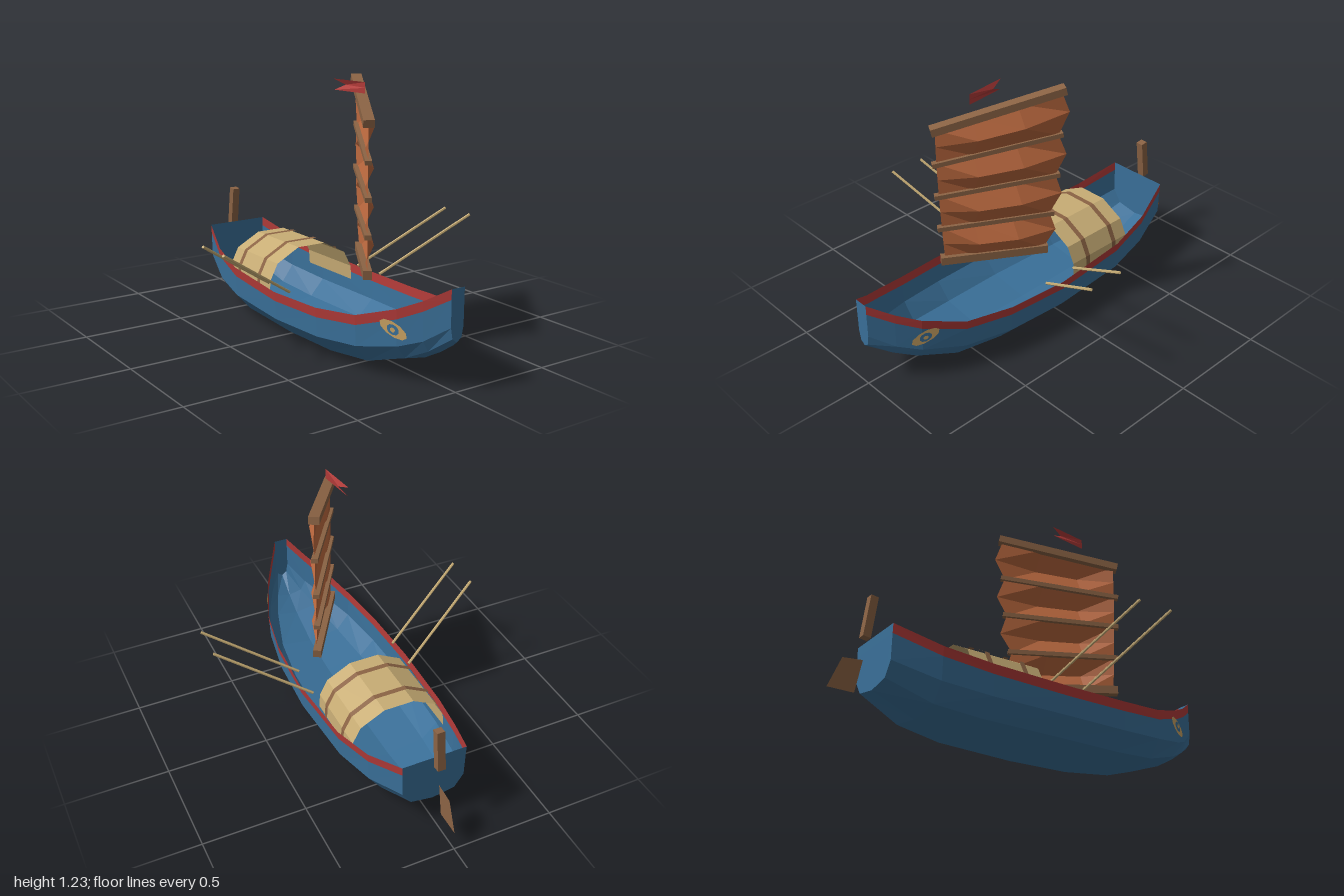
import * as THREE from 'three';

const mat = (name, color) => new THREE.MeshStandardMaterial({
  name, color, flatShading: true, side: THREE.DoubleSide });
const M = {
  blue: mat('hull blue', 0x3a7099),
  red: mat('rail red', 0xb03a38),
  sail: mat('sail rust', 0xb5653c),
  wood: mat('brown wood', 0x8b6344),
  tan: mat('tan matting', 0xc8ad75),
  gold: mat('eye gold', 0xc8a263),
};

function add(parent, name, geometry, material) {
  const mesh = new THREE.Mesh(geometry, material);
  mesh.name = name;
  parent.add(mesh);
  return mesh;
}

// Surface through a list of cross-sections, each with the same number of points
function loft(rings) {
  const pos = [];
  for (let i = 0; i < rings.length - 1; i++) {
    for (let j = 0; j < rings[i].length - 1; j++) {
      const a = rings[i][j], b = rings[i][j + 1], c = rings[i + 1][j + 1], d = rings[i + 1][j];
      for (const p of [a, b, c, a, c, d]) pos.push(p[0], p[1], p[2]);
    }
  }
  const g = new THREE.BufferGeometry();
  g.setAttribute('position', new THREE.Float32BufferAttribute(pos, 3));
  g.computeVertexNormals();
  return g;
}

const flat = (pts) => new THREE.ShapeGeometry(
  new THREE.Shape(pts.map((p) => new THREE.Vector2(p[0], p[1]))));

// Rectangular bar between two points, lengthened by extra at both ends
function bar(parent, name, a, b, width, height, extra, material) {
  const A = new THREE.Vector3(...a), B = new THREE.Vector3(...b);
  const mesh = add(parent, name,
    new THREE.BoxGeometry(width, height, A.distanceTo(B) + 2 * extra), material);
  mesh.position.copy(A).lerp(B, 0.5);
  mesh.lookAt(B);
  return mesh;
}

function buildHull(boat) {
  // z, half width, rail height, upper chine height, lower chine height, keel height
  const stations = [
    [1.0, 0.035, 0.455, 0.29, 0.24, 0.222],
    [0.9, 0.1, 0.39, 0.215, 0.165, 0.15],
    [0.8, 0.16, 0.34, 0.175, 0.115, 0.095],
    [0.61, 0.235, 0.276, 0.135, 0.055, 0.03],
    [0.37, 0.275, 0.252, 0.115, 0.035, 0.006],
    [0.05, 0.29, 0.245, 0.11, 0.033, 0.004],
    [-0.35, 0.268, 0.265, 0.12, 0.04, 0.014],
    [-0.58, 0.225, 0.305, 0.15, 0.067, 0.045],
    [-0.79, 0.16, 0.38, 0.215, 0.15, 0.13],
  ];
  const mirror = (half) => [...half.slice(1).reverse().map(([x, y, z]) => [-x, y, z]), ...half];
  const low = stations.map(([z, w, top, c2, c1, k]) => mirror([
    [0, k, z], [w * 0.69, c1, z], [w * 0.965, c2, z], [w * 0.985, top - 0.045, z]]));
  add(boat, 'hull', loft(low), M.blue);

  // Painted rail along each side
  for (const s of [-1, 1]) {
    add(boat, s > 0 ? 'leftRail' : 'rightRail', loft(stations.map(([z, w, top]) =>
      [[s * w * 0.985, top - 0.045, z], [s * w, top, z]])), M.red);
  }

  // Flat stem and transom
  [['stem', 0], ['transom', stations.length - 1]].forEach(([name, i]) => {
    const [z, w, top] = stations[i];
    const pts = [[-w, top], ...low[i], [w, top]];
    add(boat, name, flat(pts), M.blue).position.z = z;
  });

  // Bow eyes
  for (const s of [-1, 1]) {
    const eye = new THREE.Group();
    eye.name = s > 0 ? 'leftEye' : 'rightEye';
    const layers = [['eyeWhite', 0.07, 0.031, M.gold], ['eyeIris', 0.03, 0.022, M.blue],
      ['eyePupil', 0.012, 0.01, M.gold]];
    layers.forEach(([name, rx, ry, m], i) => {
      const disc = add(eye, name, new THREE.CircleGeometry(1, 10), m);
      disc.scale.set(rx, ry, 1);
      disc.rotation.z = s * 0.42;
      disc.position.z = 0.003 * i;
    });
    eye.position.set(s * 0.167, 0.25, 0.79);
    eye.rotation.y = s * Math.atan2(0.91, 0.42);
    boat.add(eye);
  }
}

function buildCabin(boat) {
  const arch = [[0.24, 0.19], [0.235, 0.26], [0.195, 0.338], [0.075, 0.402]];
  const shell = (z0, z1, grow) => {
    const half = arch.map(([x, y]) => [x + grow, y + grow]);
    const ring = [...half, ...half.slice().reverse().map(([x, y]) => [-x, y])];
    return loft([z0, z1].map((z) => ring.map(([x, y]) => [x, y, z])));
  };
  add(boat, 'cabinRoof', shell(-0.07, -0.445, 0), M.tan);
  for (const z of [-0.165, -0.35]) {
    add(boat, 'cabinHoop', shell(z + 0.013, z - 0.013, 0.007), M.wood);
  }
}

function buildSail(boat) {
  // Luff and leech ends of each spar, from yard down to boom
  const spars = [
    { l: [-0.08, 1.075, 0.49], r: [0.208, 1.205, 0.005], w: 0.05, h: 0.036 },
    { l: [-0.08, 0.905, 0.49], r: [0.205, 0.988, 0.015], w: 0.03, h: 0.022 },
    { l: [-0.077, 0.74, 0.487], r: [0.198, 0.783, 0.025], w: 0.03, h: 0.022 },
    { l: [-0.073, 0.57, 0.482], r: [0.188, 0.585, 0.05], w: 0.03, h: 0.022 },
    { l: [-0.068, 0.397, 0.475], r: [0.178, 0.4, 0.08], w: 0.04, h: 0.04 },
  ];
  const names = ['yard', 'batten', 'batten', 'batten', 'boom'];
  spars.forEach((s, i) => bar(boat, names[i], s.l, s.r, s.w, s.h, 0.02, M.wood));

  // Cloth bellies out between the spars, with a scalloped leech
  const columns = [0, 0.3, 0.65, 1];
  const rows = [];
  for (let i = 0; i <= 8; i++) {
    const a = spars[Math.floor(i / 2)], b = spars[Math.ceil(i / 2)], mid = i % 2;
    rows.push(columns.map((u) => {
      const p = [0, 1, 2].map((k) => {
        const l = (a.l[k] + b.l[k]) / 2, r = (a.r[k] + b.r[k]) / 2;
        return l + (r - l) * u;
      });
      const belly = mid * 0.055 * Math.sin(Math.PI * u);
      const out = mid * u * 0.045;
      return [p[0] + 0.86 * belly + 0.5 * out, p[1], p[2] + 0.5 * belly - 0.86 * out];
    }));
  }
  add(boat, 'sail', loft(rows), M.sail);

  // Swallow-tailed pennant
  add(boat, 'pennant', loft([
    [[0, 1.23, 0.355], [0, 1.205, 0.355], [0, 1.18, 0.355]],
    [[-0.025, 1.23, 0.15], [-0.004, 1.207, 0.215], [-0.025, 1.18, 0.155]],
  ]), M.red);
}

function buildOarsAndRudder(boat) {
  for (const s of [-1, 1]) {
    for (const z of [-0.045, 0.135]) {
      const a = new THREE.Vector3(s * 0.26, 0.262, z);
      const b = new THREE.Vector3(s * 0.69, 0.535, z + 0.16);
      const g = new THREE.CylinderGeometry(0.007, 0.007, a.distanceTo(b), 6);
      const oar = add(boat, s > 0 ? 'leftOar' : 'rightOar', g, M.tan);
      oar.position.copy(a).lerp(b, 0.5);
      oar.quaternion.setFromUnitVectors(new THREE.Vector3(0, 1, 0), b.sub(a).normalize());
    }
  }
  bar(boat, 'tiller', [0, 0.558, -0.812], [0, 0.357, -0.838], 0.038, 0.037, 0, M.wood);
  const blade = add(boat, 'rudderBlade',
    flat([[0.84, 0.255], [0.935, 0.245], [0.995, 0.1], [0.87, 0.1]]), M.wood);
  blade.rotation.y = Math.PI / 2;
}

export function createModel() {
  const boat = new THREE.Group();
  boat.name = 'sailingBoat';
  buildHull(boat);
  buildCabin(boat);
  buildSail(boat);
  buildOarsAndRudder(boat);
  return boat;
}
